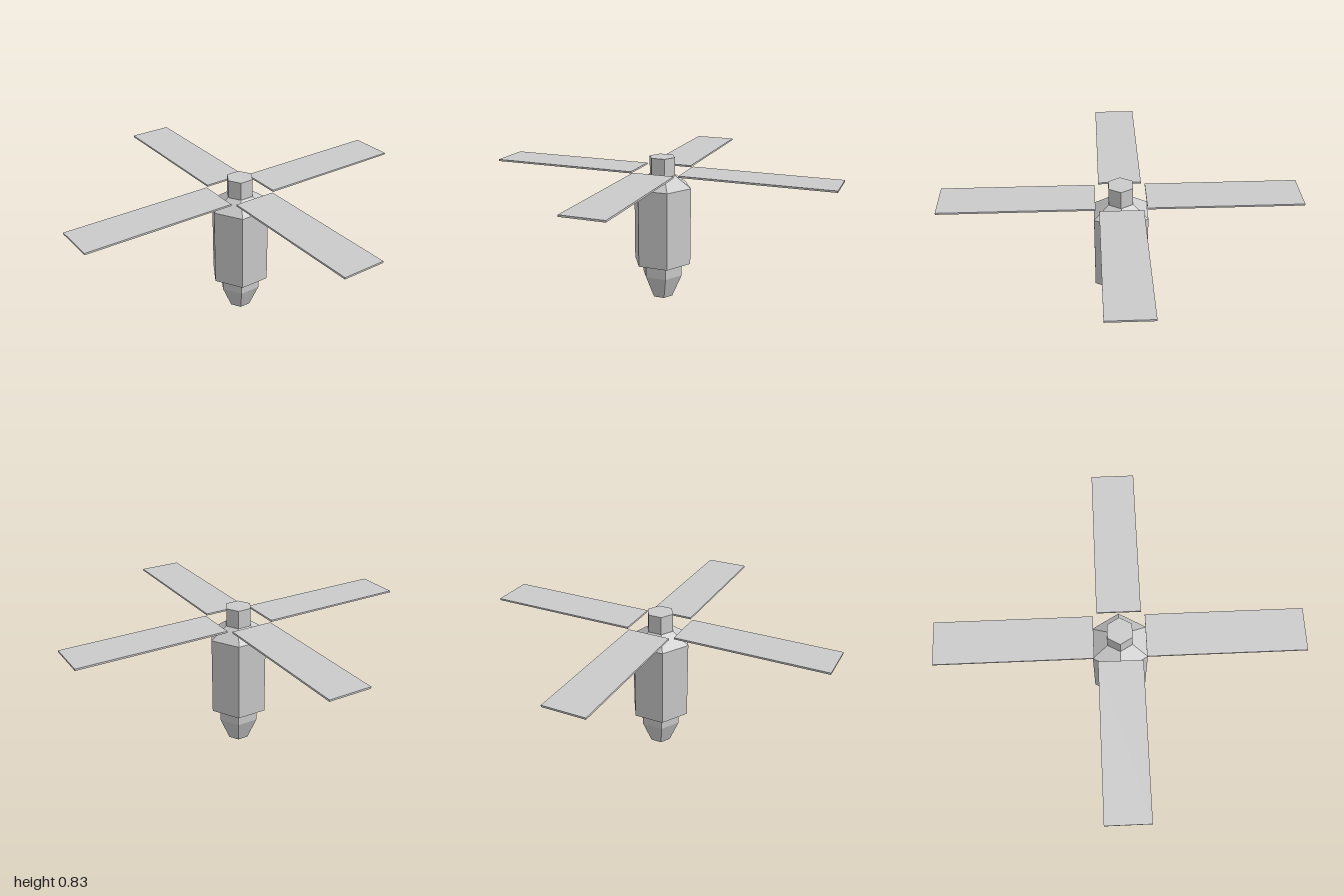
import * as THREE from 'three';

const material = new THREE.MeshStandardMaterial({ color: 0xcccccc, flatShading: true });

// Six-sided closed solid from [radius, height] pairs, bottom to top, corners on the x axis
function hexSolid(name, profile) {
  const points = profile.map(([r, y]) => new THREE.Vector2(r, y));
  const mesh = new THREE.Mesh(new THREE.LatheGeometry(points, 6, Math.PI / 2), material);
  mesh.name = name;
  return mesh;
}

export function createModel() {
  const model = new THREE.Group();
  model.name = 'rotorDrone';

  // Tapered nose, main body with sloped shoulder, and hub on top
  model.add(
    hexSolid('nose', [[0, 0], [0.063, 0], [0.121, 0.136], [0.121, 0.214], [0, 0.214]]),
    hexSolid('body', [[0, 0.214], [0.173, 0.214], [0.173, 0.664], [0.078, 0.731], [0, 0.731]]),
    hexSolid('hub', [[0, 0.731], [0.077, 0.731], [0.077, 0.835], [0, 0.835]])
  );

  // Four flat blades, floating just clear of the hub
  const inner = 0.141, outer = 1;
  const bladeGeometry = new THREE.BoxGeometry(outer - inner, 0.01, 0.242);
  bladeGeometry.translate((inner + outer) / 2, 0.757, 0);
  const rotor = new THREE.Group();
  rotor.name = 'rotor';
  for (let i = 0; i < 4; i++) {
    const blade = new THREE.Mesh(bladeGeometry, material);
    blade.name = `blade${i + 1}`;
    blade.rotation.y = (i * Math.PI) / 2;
    rotor.add(blade);
  }
  model.add(rotor);
  return model;
}
